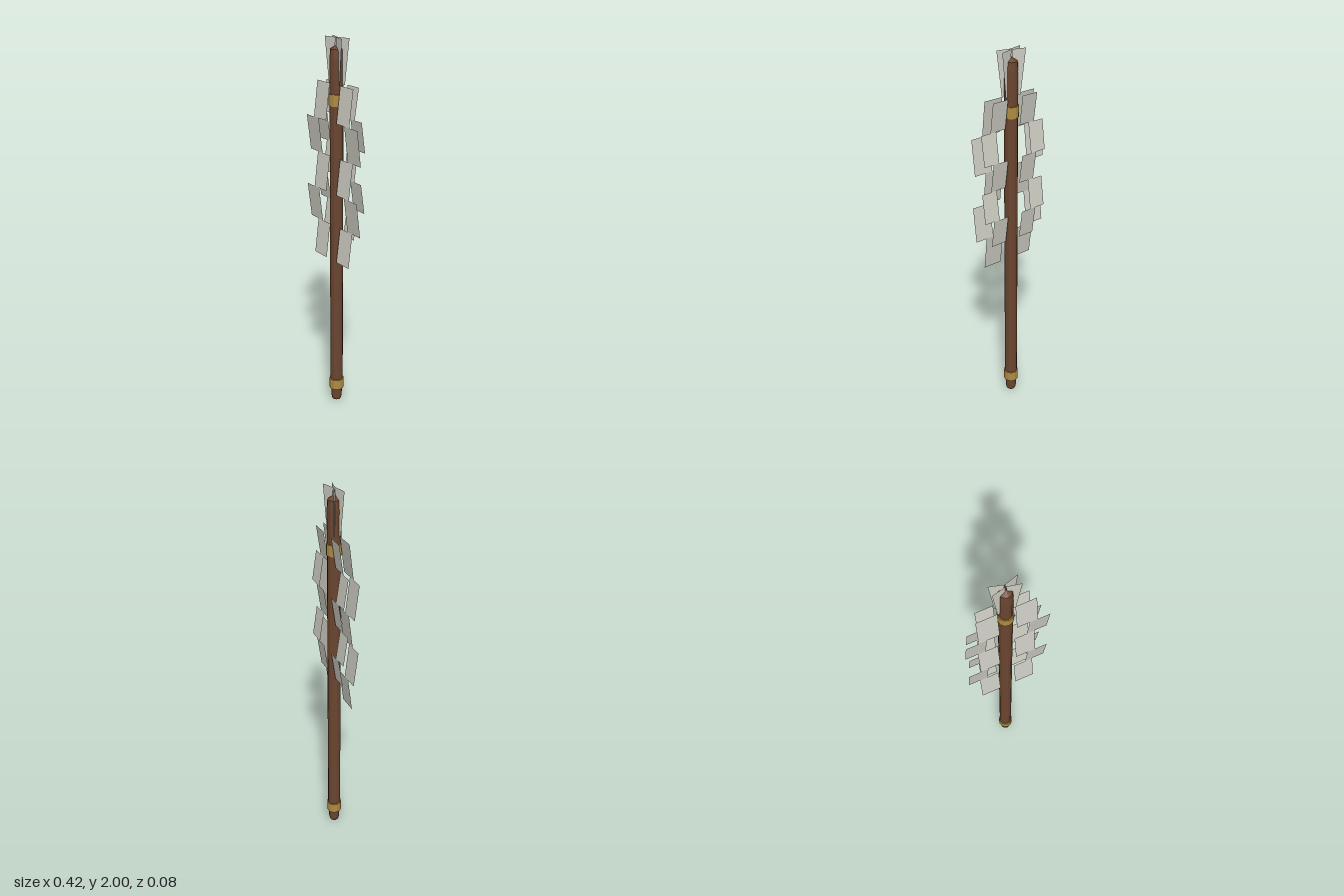
import * as THREE from 'three';

const flat = (name, color, extra = {}) => {
  const m = new THREE.MeshStandardMaterial({ color, ...extra });
  m.name = name;
  return m;
};

// Flat four-cornered plate, corners listed in order around the edge
function plate(name, corners, material) {
  const g = new THREE.BufferGeometry();
  g.setAttribute('position', new THREE.Float32BufferAttribute(corners.flat(), 3));
  g.setIndex([0, 1, 2, 0, 2, 3]);
  g.computeVertexNormals();
  const mesh = new THREE.Mesh(g, material);
  mesh.name = name;
  return mesh;
}

export function createModel() {
  const wood = flat('brown wood', 0x6b4630, { flatShading: true });
  const brass = flat('brass', 0xb08c42, { flatShading: true });
  const paper = flat('pale paper', 0xcfcec4, { side: THREE.DoubleSide });
  const model = new THREE.Group();
  model.name = 'paperStreamerStaff';

  // Staff with blunt, tapered ends
  const profile = [[0, 0], [0.024, 0.014], [0.028, 0.03], [0.031, 0.09], [0.034, 0.13],
    [0.034, 1.9], [0.031, 1.945], [0, 1.965]].map(([r, y]) => new THREE.Vector2(r, y));
  const staff = new THREE.Mesh(new THREE.LatheGeometry(profile, 12), wood);
  staff.name = 'staff';
  model.add(staff);

  // Metal collars
  for (const [name, y] of [['lowerBand', 0.114], ['upperBand', 1.701]]) {
    const band = new THREE.Mesh(new THREE.CylinderGeometry(0.039, 0.039, 0.058, 12), brass);
    band.name = name;
    band.position.y = y;
    model.add(band);
  }

  // Zigzag streamers: five plates each, alternately inner and outer,
  // tilting back and forth between two depths
  const layers = [
    { name: 'frontStreamer', step: 0.183, width: 0.103, shift: 0.063, zTop: 0.01, zLow: 0.033 },
    { name: 'backStreamer', step: 0.155, width: 0.087, shift: 0.054, zTop: -0.035, zLow: -0.012 },
  ];
  for (const side of [-1, 1]) {
    const hand = side > 0 ? 'Left' : 'Right';
    for (const l of layers) {
      const streamer = new THREE.Group();
      streamer.name = l.name + hand;
      for (let i = 0; i < 5; i++) {
        const outer = i % 2;
        const a = side * (0.043 + outer * l.shift), b = a + side * l.width;
        const y1 = 1.776 - i * l.step, y0 = y1 - l.step;
        const z1 = outer ? l.zLow : l.zTop, z0 = outer ? l.zTop : l.zLow;
        const corners = [[a, y0, z0], [b, y0, z0], [b, y1, z1], [a, y1, z1]];
        if (side < 0) corners.reverse();
        streamer.add(plate('fold' + (i + 1), corners, paper));
      }
      model.add(streamer);
    }

    // Upright paper fan flaring above the streamers
    for (const [name, zIn, zOut] of [['frontFan', 0.005, 0.02], ['backFan', -0.005, -0.025]]) {
      const zAt = (x) => zIn + (zOut - zIn) * x / 0.068;
      const corners = [[0.03, 1.776], [0.043, 1.776], [0.068, 2], [0, 2]]
        .map(([x, y]) => [side * x, y, zAt(x)]);
      if (side < 0) corners.reverse();
      model.add(plate(name + hand, corners, paper));
    }
  }
  return model;
}
